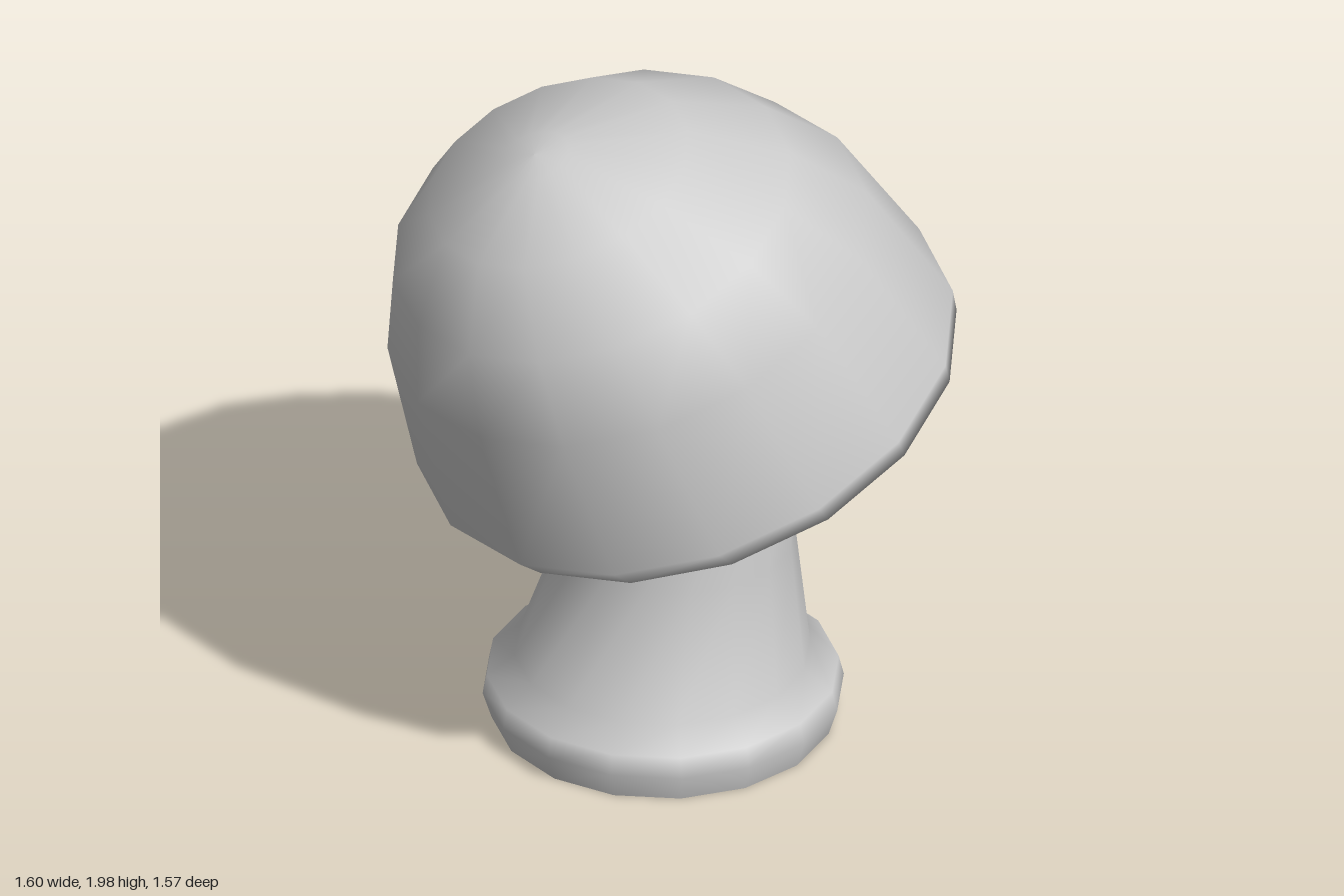
import * as THREE from 'three';

const material = new THREE.MeshStandardMaterial({ color: 0xcccccc });
const SIDES = 16;

// Smooth skin over rings of [centre x, centre y, radius, tilt about z]
function loft(rings) {
  const pos = [], index = [];
  for (const [cx, cy, r, tilt = 0] of rings) {
    for (let j = 0; j < SIDES; j++) {
      const a = (j / SIDES) * Math.PI * 2, u = r * Math.cos(a);
      pos.push(cx + u * Math.cos(tilt), cy + u * Math.sin(tilt), r * Math.sin(a));
    }
  }
  for (let i = 0; i < rings.length - 1; i++) {
    for (let j = 0; j < SIDES; j++) {
      const k = (j + 1) % SIDES;
      const a = i * SIDES + j, b = i * SIDES + k, c = a + SIDES, d = b + SIDES;
      if (rings[i][2] > 0) index.push(a, c, b);
      if (rings[i + 1][2] > 0) index.push(b, c, d);
    }
  }
  const g = new THREE.BufferGeometry();
  g.setAttribute('position', new THREE.Float32BufferAttribute(pos, 3));
  g.setIndex(index);
  g.computeVertexNormals();
  return g;
}

export function createModel() {
  const model = new THREE.Group();
  model.name = 'mushroom';
  const add = (name, geometry) => {
    const mesh = new THREE.Mesh(geometry, material);
    mesh.name = name;
    model.add(mesh);
    return mesh;
  };

  // Hollow tilted cap: inside from the ceiling to the rim, then up the outside
  const cap = add('cap', loft([
    [-0.14, 0.95, 0], [-0.12, 0.86, 0.32], [-0.09, 0.69, 0.52], [-0.05, 0.49, 0.64],
    [-0.01, 0.09, 0.71], [0, 0, 0.757], [-0.02, 0.075, 0.787], [-0.054, 0.517, 0.705],
    [-0.09, 0.754, 0.583], [-0.13, 0.952, 0.38], [-0.174, 1.048, 0.1], [-0.174, 1.056, 0],
  ]));
  cap.position.set(0.0875, 1.0, 0);
  cap.rotation.z = 0.345;

  // Stem with a rounded foot, leaning back into the cap
  add('stem', loft([
    [-0.025, 0, 0.48], [-0.025, 0.08, 0.505], [-0.027, 0.14, 0.492], [-0.028, 0.2, 0.413],
    [0.025, 0.56, 0.325], [0.03, 0.925, 0.322, 0.14], [-0.08, 1.25, 0.305, 0.33],
    [-0.22, 1.64, 0.3, 0.345],
  ]));
  const sole = add('sole', new THREE.CircleGeometry(0.48, SIDES));
  sole.rotation.x = Math.PI / 2;
  sole.position.x = -0.025;

  // Oval eyes
  for (const side of [1, -1]) {
    const eye = add(side > 0 ? 'leftEye' : 'rightEye', new THREE.SphereGeometry(1, 16, 12));
    eye.scale.set(0.088, 0.14, 0.09);
    eye.position.set(0.282, 0.88, side * 0.21 + 0.005);
  }
  return model;
}
